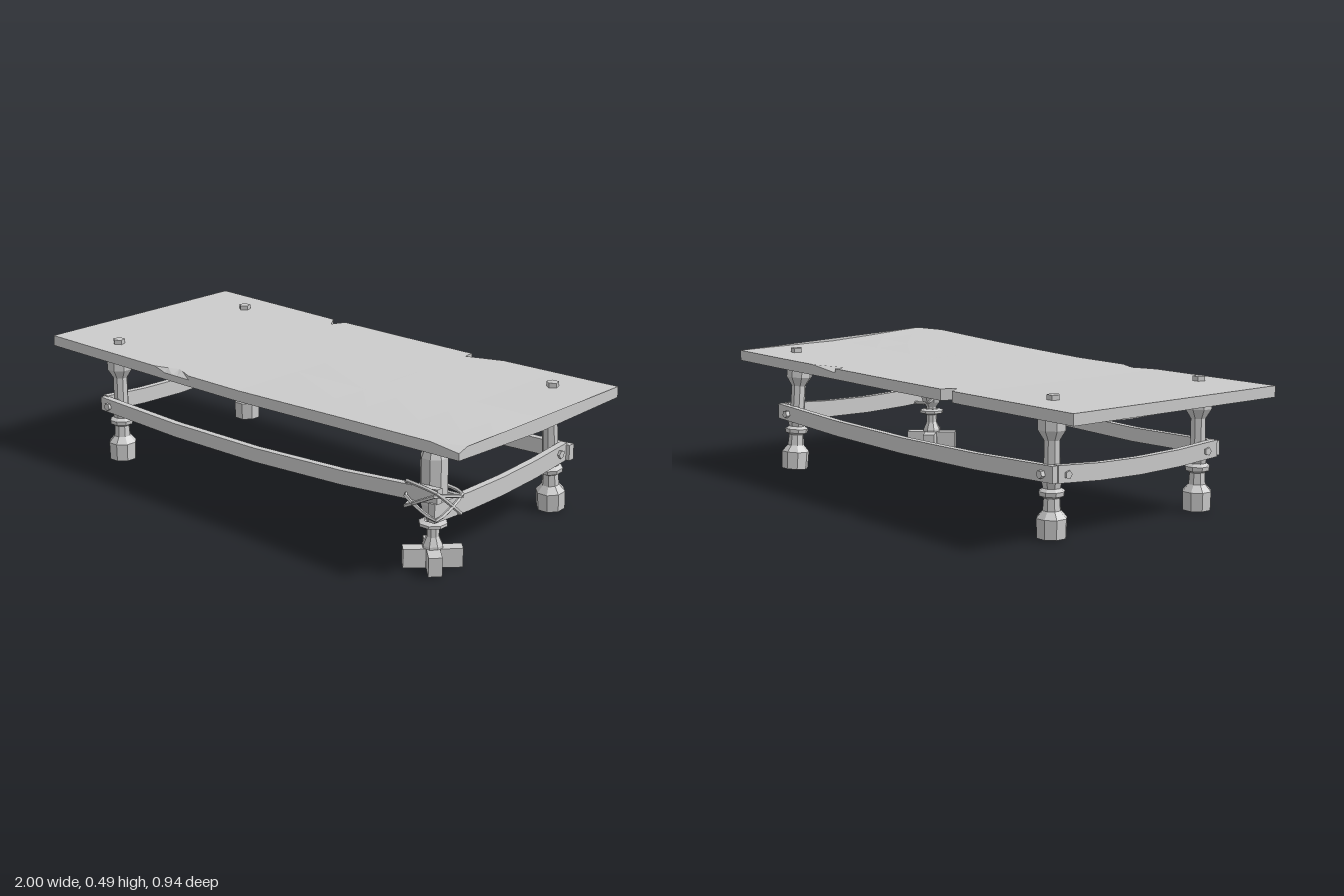
import * as THREE from 'three';

const mat = new THREE.MeshStandardMaterial({ color: 0xcccccc, flatShading: true, side: THREE.DoubleSide });

function add(parent, name, geometry, x = 0, y = 0, z = 0) {
  const mesh = new THREE.Mesh(geometry, mat);
  mesh.name = name;
  mesh.position.set(x, y, z);
  parent.add(mesh);
  return mesh;
}

// Eight-sided turned piece from [radius, height] pairs, flats facing the axes
function turned(profile) {
  return new THREE.LatheGeometry(profile.map(([r, y]) => new THREE.Vector2(r, y)), 8, Math.PI / 8);
}

// Sagging plank between two points
function plank(parent, name, a, b, height, thick, sag) {
  const dx = b[0] - a[0], dy = b[1] - a[1], dz = b[2] - a[2];
  const len = Math.hypot(dx, dz);
  const geo = new THREE.BoxGeometry(len, height, thick, 4, 1, 1);
  const p = geo.attributes.position;
  for (let i = 0; i < p.count; i++) {
    const t = p.getX(i) / len;
    p.setY(i, p.getY(i) + dy * t - sag * (1 - 4 * t * t));
  }
  const mesh = add(parent, name, geo, (a[0] + b[0]) / 2, (a[1] + b[1]) / 2, (a[2] + b[2]) / 2);
  mesh.rotation.y = Math.atan2(-dz, dx);
}

// Five-sided peg; axis is 'x', 'y' or 'z'
function peg(parent, name, axis, x, y, z, r, len) {
  const mesh = add(parent, name, new THREE.CylinderGeometry(r, r, len, 5), x, y, z);
  if (axis === 'x') mesh.rotation.z = -Math.PI / 2;
  if (axis === 'z') mesh.rotation.x = Math.PI / 2;
}

// Warped board lofted along x, with a notch and chipped edges
function boardGeometry() {
  // x, back edge z, front edge z, top inset at back, top inset at front
  const stations = [
    [-1, -0.47, 0.455, 0, 0], [-0.43, -0.462, 0.45, 0, 0], [-0.375, -0.46, 0.45, 0, 0.018],
    [-0.335, -0.405, 0.45, 0, 0.035], [-0.31, -0.46, 0.45, 0, 0.026], [-0.25, -0.46, 0.45, 0, 0],
    [0, -0.46, 0.45, 0, 0], [0.325, -0.46, 0.45, 0, 0], [0.33, -0.46, 0.45, 0.045, 0],
    [0.47, -0.464, 0.451, 0, 0], [0.7, -0.47, 0.457, 0, 0], [0.88, -0.473, 0.462, 0, 0],
    [1, -0.475, 0.467, 0, 0.045],
  ];
  const top = (x, z) => 0.464 + 0.006 * x * x + 0.024 * Math.max(0, x) * Math.max(0, z / 0.47);
  const cols = 6, thick = 0.04, pos = [], idx = [];
  const ringSize = 2 * cols + 4;
  for (const [x0, zb, zf, insetB, insetF] of stations) {
    const put = (z, drop) => {
      const x = x0 === 1 ? 0.982 + 0.018 * z / 0.467 : x0;
      pos.push(x, top(x, z) - drop, z);
    };
    for (let j = 0; j <= cols; j++) put(THREE.MathUtils.lerp(zb + insetB, zf - insetF, j / cols), 0);
    put(zf, 0.015);
    for (let j = cols; j >= 0; j--) put(THREE.MathUtils.lerp(zb, zf, j / cols), thick);
    put(zb, 0.015);
  }
  const last = stations.length - 1;
  for (let i = 0; i < last; i++) {
    for (let j = 0; j < ringSize; j++) {
      const k = (j + 1) % ringSize;
      const a = i * ringSize + j, b = i * ringSize + k;
      const c = (i + 1) * ringSize + k, d = (i + 1) * ringSize + j;
      idx.push(a, b, c, a, c, d);
    }
  }
  for (let j = 1; j < ringSize - 1; j++) {
    const e = last * ringSize;
    idx.push(0, j + 1, j, e, e + j, e + j + 1);
  }
  const geo = new THREE.BufferGeometry();
  geo.setAttribute('position', new THREE.Float32BufferAttribute(pos, 3));
  geo.setIndex(idx);
  geo.computeVertexNormals();
  return geo;
}

export function createModel() {
  const model = new THREE.Group();
  model.name = 'ricketyTable';

  add(model, 'tableTop', boardGeometry());

  // Three turned legs, one of them leaning
  const legProfile = [
    [0, 0.008], [0.052, 0.008], [0.054, 0.075], [0.032, 0.1], [0.029, 0.142], [0.044, 0.15],
    [0.046, 0.165], [0.031, 0.175], [0.036, 0.195], [0.029, 0.215], [0.028, 0.335],
    [0.05, 0.37], [0.05, 0.432], [0, 0.432],
  ];
  const legs = [[-0.74, -0.33, 0], [-0.74, 0.35, 0], [0.79, -0.345, 0.08]];
  for (const [x, z, lean] of legs) {
    const leg = add(model, 'turnedLeg', turned(legProfile), x, 0, z);
    leg.rotation.x = lean;
    peg(model, 'topPeg', 'y', x, 0.465, z < 0 ? -0.325 : z, 0.023, 0.04);
  }

  // Makeshift pointed leg standing on a crossed foot
  const post = new THREE.Group();
  post.name = 'makeshiftLeg';
  post.position.set(0.81, 0, 0.353);
  model.add(post);
  add(post, 'pointedPost', turned([
    [0, 0.01], [0.036, 0.01], [0.036, 0.085], [0.022, 0.115], [0.022, 0.18], [0.037, 0.2],
    [0.048, 0.235], [0.048, 0.395], [0.022, 0.46], [0, 0.462],
  ]));
  for (const s of [-1, 1]) {
    const arm = add(post, 'crossFoot', new THREE.BoxGeometry(0.2, 0.067, 0.046), 0, 0.0425, 0);
    arm.rotation.y = s * Math.PI / 4;
  }
  add(post, 'postCollar', turned([[0.03, 0.148], [0.05, 0.155], [0.05, 0.165], [0.03, 0.172]]));

  // Lower stretchers
  plank(model, 'frontStretcher', [-0.79, 0.23, 0.395], [0.885, 0.29, 0.415], 0.052, 0.026, 0.033);
  plank(model, 'backStretcher', [-0.79, 0.23, -0.358], [0.86, 0.23, -0.358], 0.058, 0.026, 0.022);
  plank(model, 'leftStretcher', [-0.783, 0.23, -0.35], [-0.783, 0.23, 0.39], 0.06, 0.026, 0.017);
  plank(model, 'rightStretcher', [0.832, 0.232, -0.35], [0.87, 0.234, 0.437], 0.066, 0.026, 0.017);

  // Aprons under the two short ends
  plank(model, 'leftApron', [-0.74, 0.412, -0.31], [-0.74, 0.412, 0.33], 0.052, 0.03, 0.017);
  plank(model, 'rightApron', [0.79, 0.412, -0.3], [0.79, 0.412, 0.27], 0.052, 0.03, 0.017);

  // Bolts through the stretchers
  peg(model, 'frontBolt', 'z', -0.745, 0.227, 0.405, 0.015, 0.03);
  for (const x of [-0.74, 0.79]) peg(model, 'backBolt', 'z', x, 0.226, -0.373, 0.015, 0.028);
  for (const z of [-0.31, 0.34]) peg(model, 'leftBolt', 'x', -0.793, 0.225, z, 0.015, 0.02);
  peg(model, 'rightBolt', 'x', 0.847, 0.234, -0.305, 0.016, 0.02);

  // Rope lashing crossed around the makeshift joint
  const corners = [[0.755, 0.3], [0.755, 0.435], [0.892, 0.44], [0.895, 0.31]];
  const ropes = [[0.21, 0.32, 0.31, 0.2], [0.28, 0.27, 0.215, 0.275], [0.25, 0.23, 0.3, 0.265]];
  for (const heights of ropes) {
    const pts = corners.map(([x, z], i) => new THREE.Vector3(x, heights[i], z));
    const path = new THREE.CatmullRomCurve3(pts, true, 'catmullrom', 0.25);
    add(model, 'ropeLashing', new THREE.TubeGeometry(path, 20, 0.007, 5, true));
  }

  return model;
}
